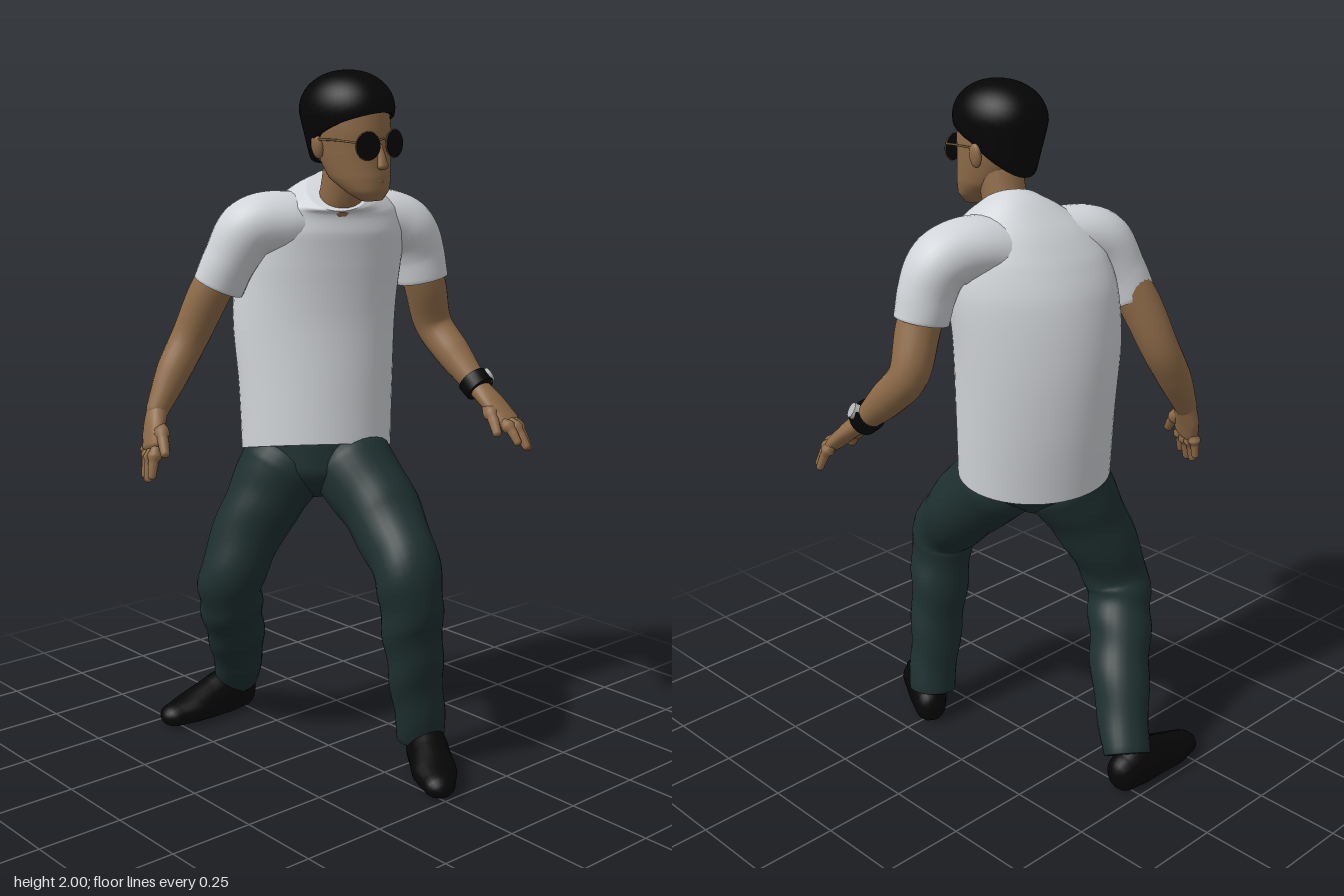
import * as THREE from 'three';

const mat = (name, color) => new THREE.MeshStandardMaterial({ name, color });
const V = (x, y, z) => new THREE.Vector3(x, y, z);

// Skin a list of rings (each an array of points, counter-clockwise about the path)
function loft(rings) {
  const n = rings[0].length, pos = [], idx = [];
  rings.forEach(r => r.forEach(p => pos.push(p.x, p.y, p.z)));
  for (let i = 0; i < rings.length - 1; i++)
    for (let j = 0; j < n; j++) {
      const k = (j + 1) % n, a = i * n + j, b = i * n + k, c = b + n, d = a + n;
      idx.push(a, b, c, a, c, d);
    }
  const g = new THREE.BufferGeometry();
  g.setAttribute('position', new THREE.Float32BufferAttribute(pos, 3));
  g.setIndex(idx);
  g.computeVertexNormals();
  return g;
}

// Tapered tube through points [x, y, z, r, r2]; r lies along ref, r2 across it
function limb(pts, { ref = V(1, 0, 0), dome = [0.8, 0.8], steps = 8, sides = 20, ripple = 0 } = {}) {
  const path = new THREE.CatmullRomCurve3(pts.map(p => V(p[0], p[1], p[2])));
  const size = new THREE.CatmullRomCurve3(pts.map(p => V(p[3], p[4] ?? p[3], 0)));
  const rings = [], N = (pts.length - 1) * steps;
  const ring = (t, scale, push) => {
    const c = path.getPoint(t), s = size.getPoint(t), T = path.getTangent(t);
    const A = ref.clone().addScaledVector(T, -T.dot(ref)).normalize();
    const B = T.clone().cross(A);
    c.addScaledVector(T, push * Math.min(s.x, s.y));
    const out = [];
    for (let j = 0; j < sides; j++) {
      const q = j / sides * Math.PI * 2;
      const w = scale * (1 + ripple * Math.sin(t * 34 + 2 * Math.sin(q)) * Math.min(1, t * 3));
      out.push(c.clone().addScaledVector(A, Math.cos(q) * s.x * w).addScaledVector(B, Math.sin(q) * s.y * w));
    }
    rings.push(out);
  };
  for (let k = 0; k < 5; k++) { const q = k / 5 * Math.PI / 2; ring(0, Math.sin(q), -Math.cos(q) * dome[0]); }
  for (let i = 0; i <= N; i++) ring(i / N, 1, 0);
  for (let k = 1; k <= 5; k++) { const q = k / 5 * Math.PI / 2; ring(1, Math.cos(q), Math.sin(q) * dome[1]); }
  return loft(rings);
}

// Level rings stacked upward, rows [y, x, z, halfWidth, halfDepth, forwardTilt]
function stack(rows, yaw, { steps = 6, sides = 48, ripple = 0 } = {}) {
  const mid = new THREE.CatmullRomCurve3(rows.map(r => V(r[1], r[0], r[2])));
  const size = new THREE.CatmullRomCurve3(rows.map(r => V(r[3], r[4], r[5] ?? 0)));
  const N = (rows.length - 1) * steps, rings = [], cs = Math.cos(yaw), sn = Math.sin(yaw);
  for (let i = 0; i <= N; i++) {
    const c = mid.getPoint(i / N), s = size.getPoint(i / N), out = [];
    for (let j = 0; j < sides; j++) {
      const q = j / sides * Math.PI * 2;
      const w = 1 + ripple * Math.sin(5 * q + c.y * 8) * Math.sin(Math.PI * i / N);
      const u = Math.cos(q) * s.x * w, f = -Math.sin(q) * s.y * w;
      out.push(V(c.x + u * cs - f * sn, c.y - s.z * Math.sin(q), c.z + u * sn + f * cs));
    }
    rings.push(out);
  }
  const cap = r => { // closes an end with its centre point
    const m = r.reduce((a, p) => a.add(p), V(0, 0, 0)).divideScalar(r.length);
    return r.map(() => m.clone());
  };
  return loft([cap(rings[0]), rings[0], ...rings, cap(rings[N])]);
}

export function createModel() {
  const skin = mat('skin', 0x8e6b48), lip = mat('lips', 0x805a41), cotton = mat('white cotton', 0xd1d4d8);
  const denim = mat('dark green denim', 0x1f3030), black = mat('black shoe', 0x060607), hairMat = mat('black hair', 0x050505);
  const glass = mat('dark glass', 0x040404), brass = mat('brass frame', 0x7a5c3c), steel = mat('steel', 0xb4b6b8);
  const model = new THREE.Group();
  model.name = 'walkingMan';
  const add = (name, geo, m, parent = model) => {
    const mesh = new THREE.Mesh(geo, m);
    mesh.name = name;
    parent.add(mesh);
    return mesh;
  };

  // Shirt body, turned toward the right, with slanted hem and collar
  const yaw = 0.6;
  add('shirtBody', stack([
    [0.915, 0.022, -0.08, 0.22, 0.158, 0.04], [1.1, 0.028, -0.092, 0.226, 0.161, 0.02],
    [1.3, 0.03, -0.097, 0.236, 0.156, 0], [1.45, 0.035, -0.078, 0.238, 0.151, 0],
    [1.55, 0.035, -0.05, 0.226, 0.139, 0], [1.62, 0.03, -0.025, 0.185, 0.116, -0.015],
    [1.66, 0.015, 0.01, 0.125, 0.094, -0.045], [1.672, 0.007, 0.032, 0.085, 0.077, -0.055],
  ], yaw, { ripple: 0.018 }), cotton);

  // Shoulders and both sleeves in one sweep from the right hem to the left hem
  add('shoulderAndSleeves', limb([
    [-0.244, 1.4, -0.195, 0.07, 0.074], [-0.222, 1.475, -0.168, 0.078, 0.076], [-0.178, 1.56, -0.132, 0.09, 0.088],
    [-0.08, 1.58, -0.085, 0.1, 0.088], [0.04, 1.56, -0.05, 0.1, 0.085], [0.16, 1.58, -0.003, 0.1, 0.088],
    [0.26, 1.555, 0.033, 0.094, 0.088], [0.306, 1.475, 0.045, 0.08, 0.08], [0.322, 1.4, 0.05, 0.074, 0.077],
  ], { ref: V(-0.42, 0, 0.91), dome: [0.03, 0.03], ripple: 0.012, sides: 28 }), cotton);

  // Trousers
  add('hips', stack([
    [0.775, 0, -0.06, 0.03, 0.03], [0.81, 0.003, -0.06, 0.08, 0.085], [0.87, 0.013, -0.07, 0.165, 0.135], [0.96, 0.02, -0.075, 0.19, 0.135],
  ], yaw), denim);
  const cloth = { dome: [0.7, 0.03], ripple: 0.035, steps: 10, sides: 28 };
  add('leftTrouserLeg', limb([[0.072, 0.87, 0.02, 0.125], [0.08, 0.745, 0.15, 0.112], [0.05, 0.595, 0.288, 0.096],
    [0.068, 0.45, 0.288, 0.094, 0.083], [0.095, 0.28, 0.28, 0.086, 0.07], [0.13, 0.09, 0.268, 0.073, 0.068]], cloth), denim);
  add('rightTrouserLeg', limb([[-0.062, 0.87, -0.125, 0.13], [-0.13, 0.73, -0.165, 0.11], [-0.203, 0.53, -0.207, 0.096],
    [-0.17, 0.42, -0.252, 0.094], [-0.097, 0.28, -0.325, 0.086], [-0.015, 0.1, -0.43, 0.07, 0.064]], cloth), denim);

  // Shoes: heel-to-toe sections with the underside pressed flat on the ground
  const shoe = (name, x, z, angle) => {
    const dx = Math.cos(angle), dz = Math.sin(angle);
    const rows = [[0, 0.05, 0.05, 0.06], [0.06, 0.06, 0.06, 0.075], [0.13, 0.05, 0.062, 0.062], [0.2, 0.04, 0.065, 0.046], [0.26, 0.033, 0.048, 0.036]];
    const g = limb(rows.map(([d, y, w, h]) => [x + dx * d, y, z + dz * d, w, h]), { ref: V(-dz, 0, dx), dome: [0.9, 1.3] });
    const p = g.attributes.position;
    for (let i = 0; i < p.count; i++) p.setY(i, Math.max(0, p.getY(i)));
    g.computeVertexNormals();
    add(name, g, black);
  };
  shoe('leftShoe', 0.16, 0.243, Math.atan2(0.825, -0.56));
  shoe('rightShoe', 0.003, -0.436, Math.PI);

  // Arms
  add('leftArm', limb([[0.285, 1.5, 0.045, 0.06], [0.33, 1.39, 0.052, 0.062], [0.377, 1.26, 0.045, 0.056],
    [0.39, 1.18, 0.115, 0.052], [0.395, 1.09, 0.215, 0.034]]), skin);
  add('rightArm', limb([[-0.21, 1.5, -0.165, 0.058], [-0.25, 1.39, -0.22, 0.06], [-0.29, 1.25, -0.273, 0.054],
    [-0.34, 1.16, -0.283, 0.05], [-0.403, 1.05, -0.282, 0.033]]), skin);

  // Hands: flat palm, four bent fingers and a thumb
  const hand = (side, palm, across, fingers) => {
    const g = new THREE.Group();
    g.name = side + 'Hand';
    model.add(g);
    add(side + 'Palm', limb(palm, { ref: across, steps: 5 }), skin, g);
    fingers.forEach(([a, b, r], i) => {
      const m = a.map((v, k) => (v + b[k]) / 2);
      m[1] += 0.008;
      add(side + (i === 4 ? 'Thumb' : 'Finger' + (i + 1)),
        limb([[...a, r], [...m, r], [...b, r * 0.8]], { steps: 4, sides: 10, ref: across }), skin, g);
    });
  };
  hand('left', [[0.395, 1.09, 0.215, 0.033, 0.03], [0.407, 1.045, 0.27, 0.048, 0.027], [0.42, 1.0, 0.318, 0.049, 0.023]], V(0.96, 0, -0.27), [
    [[0.388, 1.0, 0.33], [0.393, 0.95, 0.38], 0.015], [[0.41, 1.0, 0.335], [0.42, 0.935, 0.39], 0.016],
    [[0.432, 1.0, 0.325], [0.448, 0.925, 0.372], 0.015], [[0.452, 1.0, 0.305], [0.473, 0.93, 0.335], 0.014],
    [[0.38, 1.04, 0.27], [0.354, 0.975, 0.335], 0.017]]);
  hand('right', [[-0.403, 1.05, -0.282, 0.033, 0.03], [-0.424, 1.0, -0.27, 0.048, 0.027], [-0.44, 0.955, -0.257, 0.049, 0.023]], V(-0.25, 0, 0.97), [
    [[-0.43, 0.95, -0.295], [-0.438, 0.888, -0.298], 0.014], [[-0.438, 0.945, -0.272], [-0.455, 0.868, -0.273], 0.015],
    [[-0.446, 0.945, -0.247], [-0.466, 0.864, -0.243], 0.016], [[-0.453, 0.95, -0.223], [-0.473, 0.878, -0.213], 0.015],
    [[-0.42, 1.01, -0.245], [-0.448, 0.945, -0.182], 0.017]]);

  // Wrist watch
  add('watchStrap', limb([[0.395, 1.11, 0.193, 0.047], [0.396, 1.084, 0.225, 0.046]], { dome: [0.05, 0.05], steps: 2 }), black);
  const out = V(0.75, 0.5, 0.35).normalize();
  const watchCase = add('watchCase', new THREE.CylinderGeometry(0.022, 0.024, 0.014, 20), steel);
  watchCase.position.set(0.3955, 1.098, 0.209).addScaledVector(out, 0.044);
  watchCase.quaternion.setFromUnitVectors(V(0, 1, 0), out);

  // Neck and head; the head leans slightly to the right about the chin
  add('neck', limb([[0.01, 1.57, 0.0, 0.05], [0.007, 1.65, 0.045, 0.062], [0, 1.78, 0.085, 0.064]]), skin);
  const pivot = new THREE.Group(), head = new THREE.Group();
  pivot.name = 'headPivot';
  head.name = 'head';
  pivot.position.y = 1.65;
  pivot.rotation.z = 0.06;
  head.position.y = -1.65;
  pivot.add(head);
  model.add(pivot);
  add('face', stack([
    [1.65, 0, 0.18, 0.03, 0.03], [1.675, 0, 0.165, 0.06, 0.058], [1.715, 0, 0.135, 0.081, 0.09],
    [1.78, 0, 0.115, 0.093, 0.108], [1.84, 0, 0.108, 0.099, 0.118], [1.9, 0, 0.1, 0.1, 0.122], [1.95, 0, 0.1, 0.07, 0.09],
  ], 0), skin, head);
  add('nose', limb([[0, 1.795, 0.218, 0.009], [0, 1.765, 0.226, 0.012], [0, 1.743, 0.23, 0.017, 0.013]], { sides: 14 }), skin, head);
  add('mouth', limb([[-0.026, 1.7, 0.208, 0.004], [0, 1.702, 0.22, 0.006], [0.026, 1.7, 0.208, 0.004]], { ref: V(0, 1, 0), sides: 10 }), lip, head);

  // Hair: a cap whose lower edge drops from the fringe to the nape
  const hairRings = [];
  for (let i = -1; i <= 16; i++) {
    const ring = [];
    for (let j = 0; j < 48; j++) {
      const q = j / 48 * Math.PI * 2, f = -Math.sin(q), edge = 1.835 + (f > 0 ? 0.05 : 0.09) * f;
      const y = edge + (1.998 - edge) * Math.sin(Math.max(i, 0) / 16 * Math.PI / 2);
      let r = y > 1.89 ? Math.pow(Math.max(0, 1 - Math.pow((y - 1.89) / 0.108, 2.1)), 0.48) : 1 - 1.5 * (1.89 - y);
      if (i < 0) r *= 0.8;
      ring.push(V(-0.006 + 0.12 * r * Math.cos(q), y, 0.1 + 0.145 * r * f));
    }
    hairRings.push(ring);
  }
  add('hair', loft(hairRings), hairMat, head);

  // Ears and sunglasses
  for (const [side, s] of [['left', 1], ['right', -1]]) {
    const ear = add(side + 'Ear', new THREE.SphereGeometry(1, 16, 12), skin, head);
    ear.scale.set(0.012, 0.034, 0.021);
    ear.position.set(s * 0.101, 1.8, 0.08);
    ear.rotation.z = -s * 0.15;
    const lens = new THREE.Group();
    lens.name = side + 'LensGroup';
    lens.position.set(s * 0.048, 1.8, 0.226);
    lens.rotation.y = s * 0.2;
    head.add(lens);
    add(side + 'Lens', new THREE.CylinderGeometry(0.037, 0.037, 0.006, 28).rotateX(Math.PI / 2), glass, lens);
    add(side + 'LensRim', new THREE.TorusGeometry(0.037, 0.002, 8, 28), brass, lens);
    add(side + 'Temple', limb([[s * 0.084, 1.812, 0.216, 0.003], [s * 0.1, 1.818, 0.16, 0.003], [s * 0.107, 1.82, 0.08, 0.003]], { sides: 8, steps: 4 }), brass, head);
  }
  add('glassesBridge', limb([[-0.014, 1.812, 0.232, 0.003], [0, 1.816, 0.236, 0.003], [0.014, 1.812, 0.232, 0.003]], { ref: V(0, 1, 0), sides: 8, steps: 4 }), brass, head);
  return model;
}
